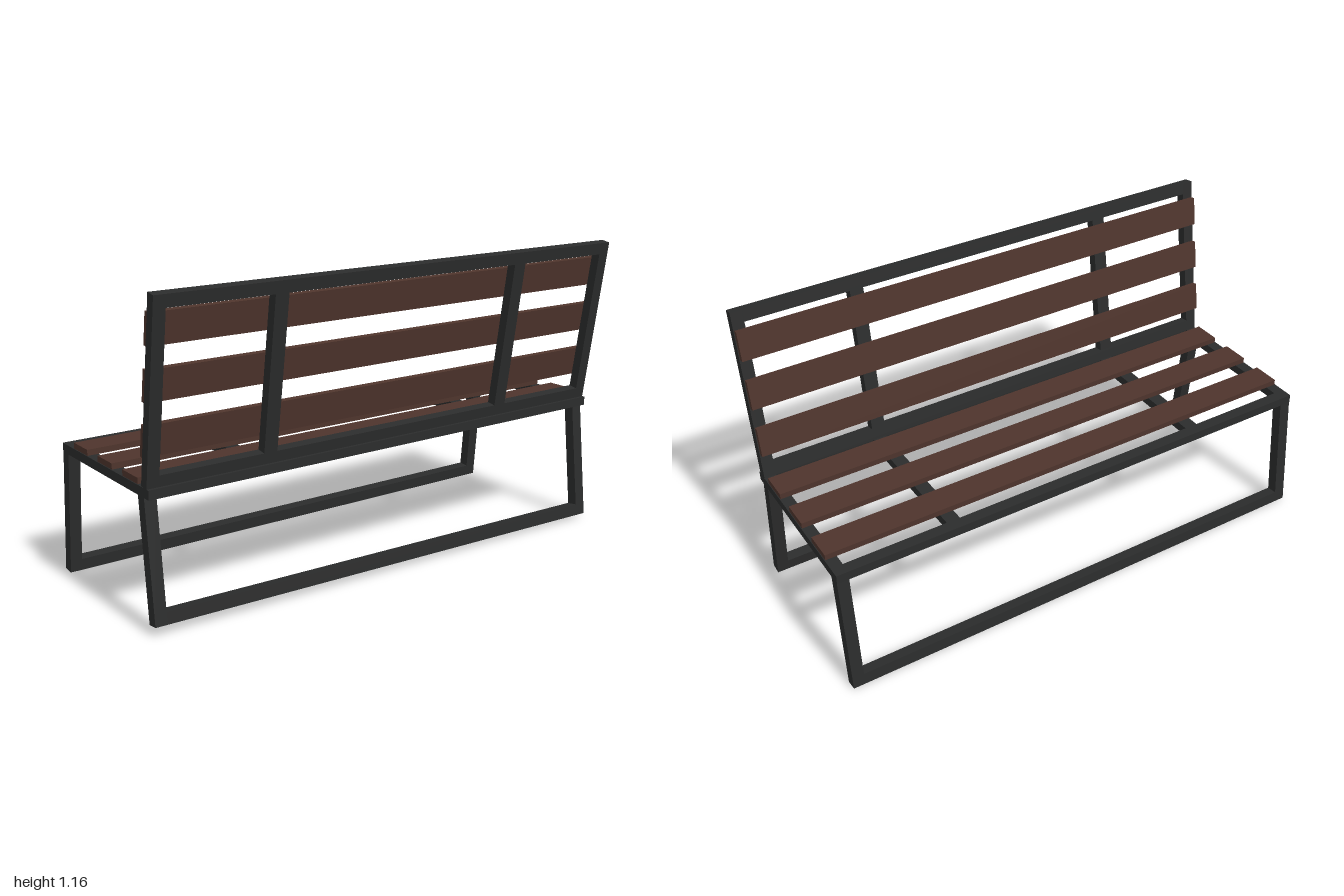
import * as THREE from 'three';

const steel = new THREE.MeshStandardMaterial({ color: 0x2b2c2c });
steel.name = 'charcoal steel';
const wood = new THREE.MeshStandardMaterial({ color: 0x4e342c });
wood.name = 'dark brown wood';

// Box given by its size and centre
function bar(group, name, material, [w, h, d], [x, y, z]) {
  const mesh = new THREE.Mesh(new THREE.BoxGeometry(w, h, d), material);
  mesh.name = name;
  mesh.position.set(x, y, z);
  group.add(mesh);
}

function part(parent, name, position, rotation) {
  const group = new THREE.Group();
  group.name = name;
  group.position.set(...position);
  group.rotation.set(...rotation);
  parent.add(group);
  return group;
}

const T = 0.045; // tube width
const POSTS = [-0.9755, -0.528, 0.528, 0.9755];
const postWidth = x => (Math.abs(x) > 0.9 ? T : 0.053);

// Two legs joined by a floor bar, hanging down from the group's origin
function legFrame(parent, name, position, rotation, length, halfWidth) {
  const g = part(parent, name, position, rotation);
  const top = 0.012;
  for (const s of [-1, 1]) {
    bar(g, 'leg', steel, [T, length + top, 0.043], [s * (halfWidth - T / 2), (top - length) / 2, 0]);
  }
  bar(g, 'floorBar', steel, [2 * (halfWidth - T), T, 0.043], [0, T / 2 - length, 0]);
}

export function createModel() {
  const bench = new THREE.Group();
  bench.name = 'bench';

  // Seat: rectangular frame, two inner cross rails, three planks
  const seat = part(bench, 'seat', [0, 0.491, -0.022], [-0.005, 0, 0]);
  const depth = 0.665, thick = 0.034;
  for (const x of POSTS) {
    const inner = Math.abs(x) < 0.9;
    bar(seat, inner ? 'crossRail' : 'sideRail', steel,
      [postWidth(x), thick, inner ? depth - 2 * T : depth], [x, 0, 0]);
  }
  for (const s of [-1, 1]) {
    bar(seat, 'longRail', steel, [1.906, thick, T], [0, 0, s * (depth - T) / 2]);
  }
  for (const z of [0.197, 0.008, -0.185]) {
    bar(seat, 'seatPlank', wood, [1.99, 0.022, 0.11], [0, 0.028, z]);
  }

  // Backrest: leaning frame with three planks on the sitting side
  const back = part(bench, 'backrest', [0, 0.509, 0.279], [0.154, 0, 0]);
  const height = 0.656, d = 0.037;
  for (const x of POSTS) {
    const inner = Math.abs(x) < 0.9;
    bar(back, inner ? 'innerPost' : 'sidePost', steel,
      [postWidth(x), inner ? height - 2 * T : height, d], [x, height / 2, 0]);
  }
  for (const y of [T / 2, height - T / 2]) {
    bar(back, 'backRail', steel, [1.906, T, d], [0, y, 0]);
  }
  for (const y of [0.153, 0.343, 0.533]) {
    bar(back, 'backPlank', wood, [1.99, 0.112, 0.02], [0, y, -d / 2 - 0.01]);
  }

  // Splayed leg frames; the one under the backrest sits slightly askew
  legFrame(bench, 'seatEdgeLegs', [0, 0.478, -0.331], [0.09, 0, 0], 0.476, 0.998);
  legFrame(bench, 'backrestLegs', [0, 0.48, 0.259], [-0.125, -0.01, -0.013], 0.459, 0.995);

  return bench;
}
